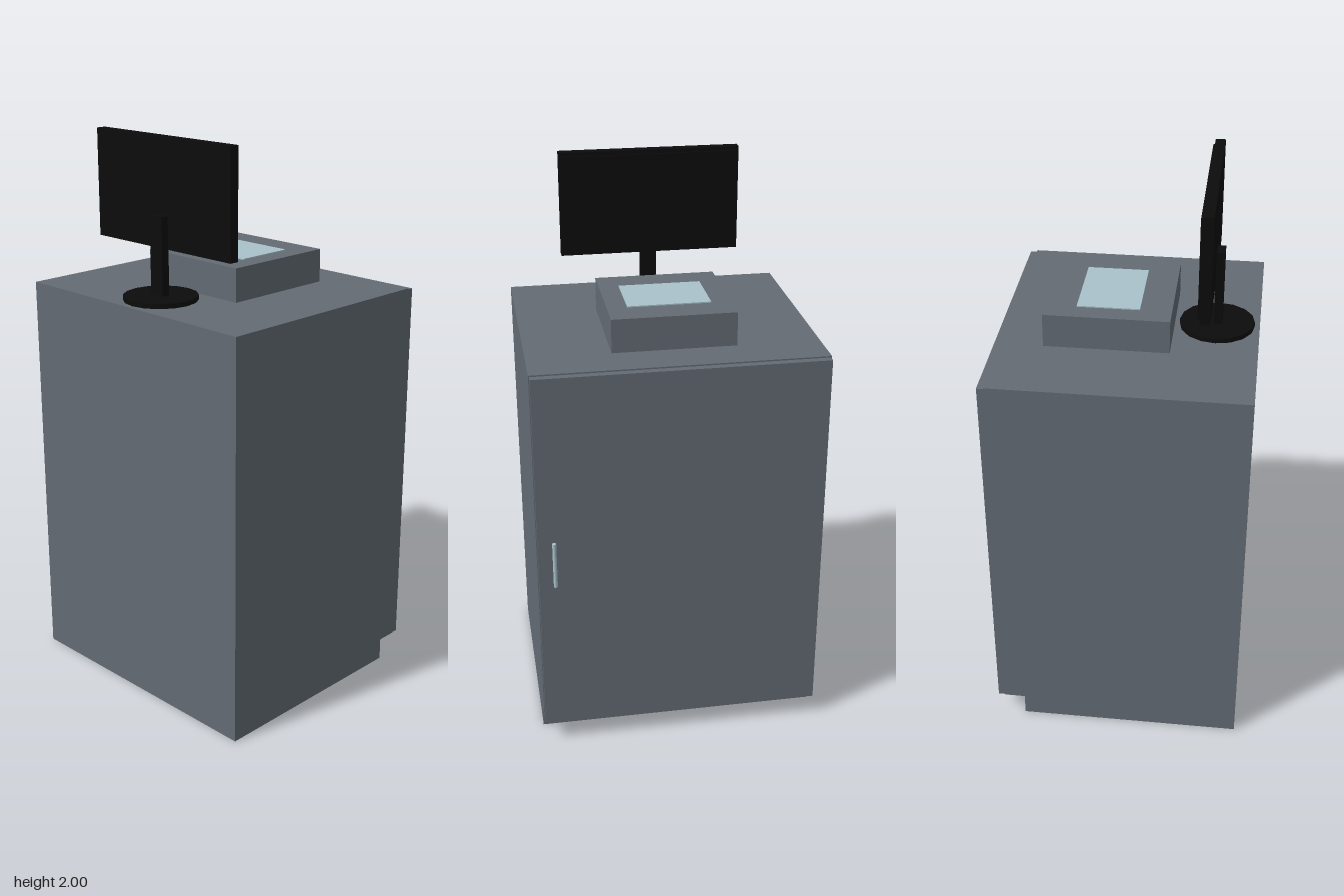
import * as THREE from 'three';

const material = (name, color) => {
  const m = new THREE.MeshStandardMaterial({ color });
  m.name = name;
  return m;
};

export function createModel() {
  const group = new THREE.Group();
  const slate = material('slate grey', 0x636b74);
  const glass = material('pale blue', 0xa9c2ca);
  const black = material('black', 0x0c0c0c);

  const add = (name, geometry, mat, x = 0, y = 0, z = 0) => {
    const mesh = new THREE.Mesh(geometry, mat);
    mesh.name = name;
    mesh.position.set(x, y, z);
    group.add(mesh);
    return mesh;
  };
  // Box given by its half width and its y and z limits
  const box = (name, mat, halfX, y0, y1, z0, z1) =>
    add(name, new THREE.BoxGeometry(halfX * 2, y1 - y0, z1 - z0), mat, 0, (y0 + y1) / 2, (z0 + z1) / 2);

  // Cabinet: side profile with a toe recess, extruded across the width
  const width = 1.01;
  const profile = new THREE.Shape([
    [-0.465, 0], [0.33, 0], [0.33, 0.08], [0.405, 0.08], [0.405, 1.45], [-0.465, 1.45],
  ].map(([x, y]) => new THREE.Vector2(x, y)));
  const bodyGeometry = new THREE.ExtrudeGeometry(profile, { depth: width, bevelEnabled: false });
  bodyGeometry.translate(0, 0, -width / 2).rotateY(Math.PI / 2);
  add('cabinetBody', bodyGeometry, slate);

  // Door with its upright handle
  box('cabinetDoor', slate, 0.502, 0.08, 1.445, -0.43, -0.405);
  add('doorHandle', new THREE.CylinderGeometry(0.007, 0.007, 0.17, 12), glass, 0.447, 0.765, -0.457);

  // Countertop unit with a glass plate
  box('scannerHousing', slate, 0.215, 1.45, 1.569, -0.26, 0.17);
  box('scannerGlass', glass, 0.145, 1.567, 1.573, -0.153, 0.062);

  // Monitor on a round foot
  add('monitorBase', new THREE.CylinderGeometry(0.13, 0.13, 0.017, 16), black, 0, 1.4585, 0.317).material.flatShading = false;
  box('monitorStand', black, 0.029, 1.46, 1.74, 0.305, 0.335);
  box('monitorCase', black, 0.324, 1.625, 2, 0.272, 0.307);
  box('monitorScreen', black, 0.311, 1.639, 1.986, 0.265, 0.272);

  return group;
}
